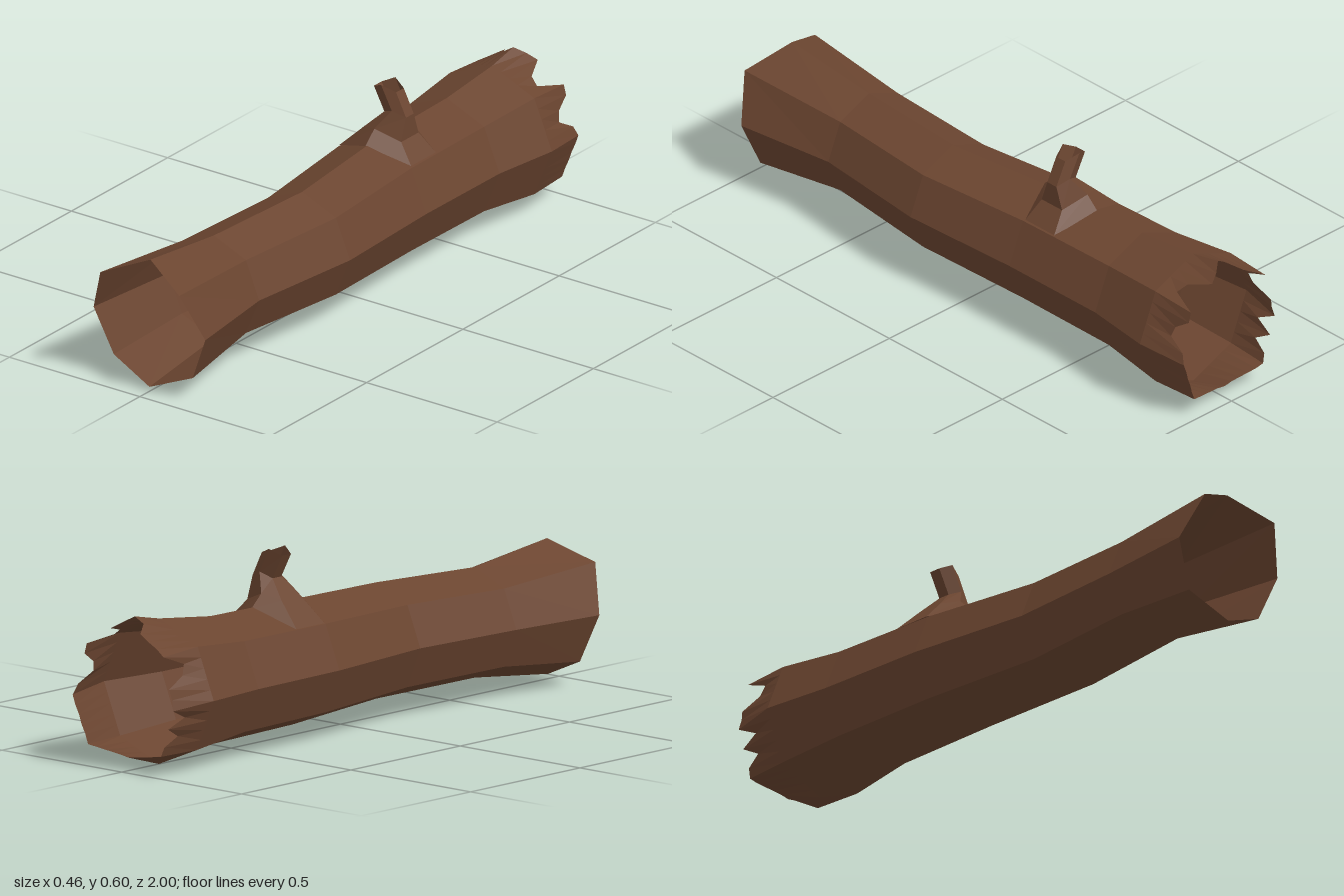
import * as THREE from 'three';

const bark = new THREE.MeshStandardMaterial({ color: 0x6b4530, flatShading: true, side: THREE.DoubleSide });

// Skin a list of closed rings (arrays of [x, y, z]) as an open tube
function loft(name, rings) {
  const n = rings[0].length, index = [];
  for (let r = 0; r < rings.length - 1; r++) {
    for (let i = 0; i < n; i++) {
      const a = r * n + i, b = r * n + (i + 1) % n, c = a + n, d = b + n;
      index.push(a, c, b, b, c, d);
    }
  }
  const indexed = new THREE.BufferGeometry();
  indexed.setAttribute('position', new THREE.Float32BufferAttribute(rings.flat(2), 3));
  indexed.setIndex(index);
  const geometry = indexed.toNonIndexed();
  geometry.computeVertexNormals();
  const mesh = new THREE.Mesh(geometry, bark);
  mesh.name = name;
  return mesh;
}

// Eight-sided ring around the log axis
const octagon = (z, cx, r, cy = 0.233) => Array.from({ length: 8 }, (_, i) => {
  const a = i * Math.PI / 4;
  return [cx + r * Math.cos(a), cy + r * Math.sin(a), z];
});

// Split every side of a ring into equal pieces
const subdivide = (ring, pieces) => ring.flatMap((p, i) => {
  const q = ring[(i + 1) % ring.length];
  return Array.from({ length: pieces }, (_, k) => p.map((v, j) => v + (q[j] - v) * k / pieces));
});

export function createModel() {
  const model = new THREE.Group();
  model.name = 'hollowLog';

  // Trunk: a gently wandering hollow tube with a zigzag front mouth
  const mouthZ = [0.95, 1, 0.945, 1, 0.95, 0.93, 0.95, 0.93];
  const mouth = octagon(0, 0, 0.214).map(([x, y], i) => [x, y, mouthZ[i]]);
  const flare = octagon(-0.83, 0, 0.229);
  model.add(loft('trunk', [
    mouth,
    octagon(0.61, -0.004, 0.174),
    octagon(0.2, 0.032, 0.183),
    octagon(-0.22, 0, 0.197),
    octagon(-0.6, -0.004, 0.202),
    flare,
  ]));

  // Broken back end: splinters and notches, five steps per side
  const rim = [
    [0.205, 0.22], [0.16, 0.385], [0, 0.485], [-0.16, 0.385],
    [-0.2, 0.22], [-0.15, 0.07], [0, 0.045], [0.15, 0.07],
  ].map(([x, y]) => [x, y, 0]);
  const splinterZ = [
    1, 0.985, 0.925, 0.935, 0.985,
    0.985, 0.89, 0.905, 0.98, 0.965,
    0.94, 0.935, 0.985, 0.985, 0.98,
    0.985, 0.9, 0.915, 0.985, 0.98,
    0.985, 0.92, 0.985, 0.93, 0.98,
    0.985, 0.985, 0.98, 0.975, 0.97,
    0.97, 0.97, 0.975, 0.98, 0.985,
    0.99, 0.99, 0.995, 0.995, 1,
  ];
  const broken = subdivide(rim, 5).map(([x, y], i) => [x, y, -splinterZ[i]]);
  model.add(loft('splinteredEnd', [subdivide(flare, 5), broken]));

  // Branch stub: six-sided rings, each given by right, middle and left [x, y, half depth]
  const stubRing = (half) => [
    ...half.map(([x, y, d]) => [x, y, -0.29 + d]),
    ...half.slice().reverse().map(([x, y, d]) => [x, y, -0.29 - d]),
  ];
  model.add(loft('branchStub', [
    [[0.135, 0.377, 0.064], [0, 0.428, 0.118], [-0.14, 0.375, 0.064]],
    [[0.083, 0.437, 0.045], [0, 0.47, 0.072], [-0.06, 0.452, 0.045]],
    [[0.083, 0.51, 0.02], [0.04, 0.528, 0.036], [0, 0.51, 0.02]],
    [[0.045, 0.586, 0.02], [0, 0.605, 0.037], [-0.04, 0.586, 0.02]],
  ].map(stubRing)));

  return model;
}
